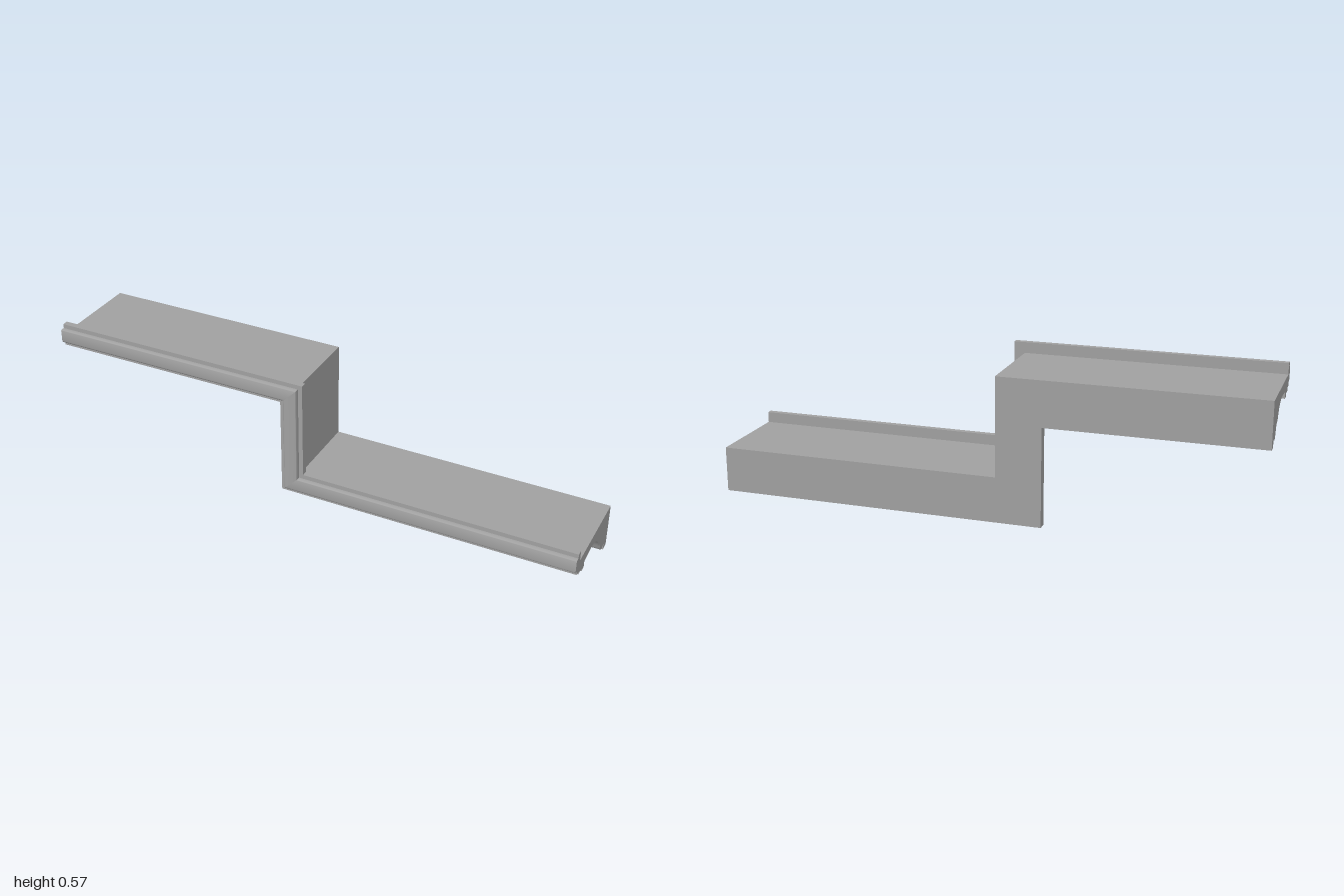
import * as THREE from 'three';
import { toCreasedNormals } from 'three/addons/utils/BufferGeometryUtils.js';

const V = (x, y) => new THREE.Vector2(x, y);

// Moulding cross-section: x = depth (front is positive), y = height
function mouldingProfile() {
  const s = new THREE.Shape();
  s.moveTo(-0.19, 0);
  s.lineTo(-0.19, 0.168);
  s.lineTo(0.152, 0.168);
  s.lineTo(0.152, 0.208); // raised front lip
  s.lineTo(0.174, 0.208);
  s.lineTo(0.174, 0.192);
  s.lineTo(0.185, 0.192); // rounded front band
  s.quadraticCurveTo(0.191, 0.192, 0.191, 0.186);
  s.lineTo(0.191, 0.147);
  s.quadraticCurveTo(0.191, 0.138, 0.174, 0.136);
  for (const [z, y] of [[0.174, 0.123], [0.152, 0.123], [0.152, 0.11], [0.117, 0.11],
    [0.117, 0.098], [0.091, 0.098], [0.091, 0.121]]) s.lineTo(z, y); // small steps
  s.splineThru([V(0.06, 0.126), V(0.02, 0.129), V(-0.02, 0.124), V(-0.05, 0.109),
    V(-0.07, 0.088), V(-0.08, 0.07)]); // cove
  s.splineThru([V(-0.09, 0.069), V(-0.103, 0.061), V(-0.111, 0.046), V(-0.117, 0.031),
    V(-0.125, 0.021), V(-0.137, 0.019), V(-0.157, 0.026)]); // ogee
  s.lineTo(-0.157, 0);
  const points = s.getPoints(4);
  if (points[0].distanceTo(points[points.length - 1]) < 1e-6) points.pop();
  return THREE.ShapeUtils.isClockWise(points) ? points.reverse() : points;
}

// Stations along the stepped path; h shifts each point outward so corners are mitred
const CORNER_X = -0.223, RISE = 0.365;
const stations = [
  h => [1, h],
  h => [CORNER_X + h, h],
  h => [CORNER_X + h, RISE + h],
  h => [-1, RISE + h],
];

function creased(positions) {
  const g = new THREE.BufferGeometry();
  g.setAttribute('position', new THREE.Float32BufferAttribute(positions, 3));
  return toCreasedNormals(g, 0.6);
}

export function createModel() {
  const group = new THREE.Group();
  const grey = new THREE.MeshStandardMaterial({ color: 0xa0a0a0 });
  grey.name = 'stone grey';

  const profile = mouldingProfile();
  const n = profile.length;
  const faces = THREE.ShapeUtils.triangulateShape(profile, []);
  const at = (s, i) => {
    const p = profile[i % n];
    return [...stations[s](p.y), p.x];
  };

  const add = (name, positions) => {
    const mesh = new THREE.Mesh(creased(positions), grey);
    mesh.name = name;
    group.add(mesh);
  };

  // Three mitred runs
  ['lowerRun', 'verticalRun', 'upperRun'].forEach((name, s) => {
    const pos = [];
    for (let i = 0; i < n; i++) {
      const a = at(s, i), b = at(s, i + 1), c = at(s + 1, i + 1), d = at(s + 1, i);
      pos.push(...a, ...b, ...c, ...a, ...c, ...d);
    }
    add(name, pos);
  });

  // Flat cut ends
  add('lowerEnd', faces.flatMap(([a, b, c]) => [...at(0, a), ...at(0, c), ...at(0, b)]));
  add('upperEnd', faces.flatMap(([a, b, c]) => [...at(3, a), ...at(3, b), ...at(3, c)]));

  return group;
}
